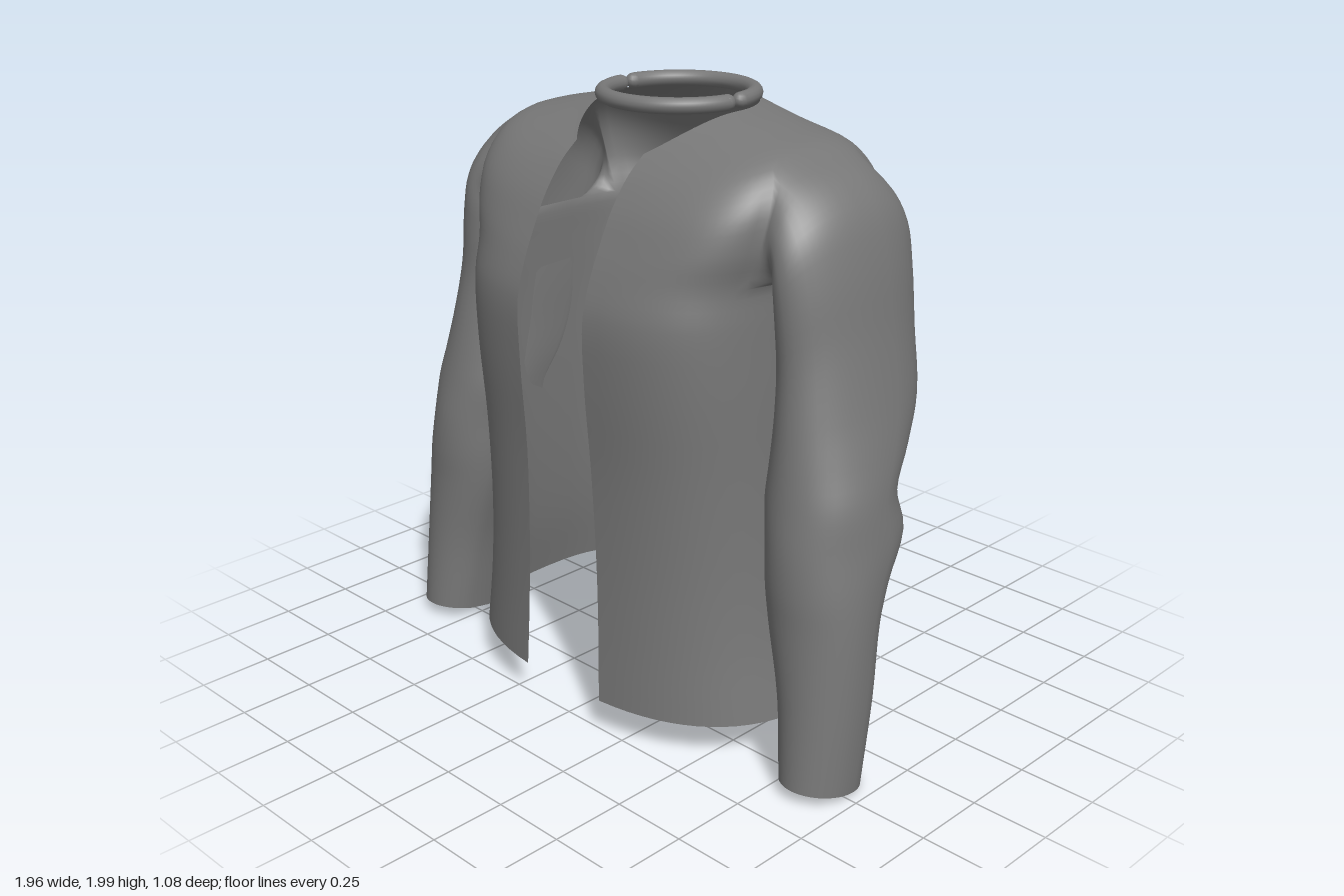
import * as THREE from 'three';

const SUB = 4;      // spline steps between two control sections
const COLS = 36;    // columns from front edge to centre back (one half)
const HOLE = { r0: 6 * SUB, r1: 9 * SUB, c0: 13, c1: 22 }; // armhole in the body grid

// Body sections: y front, y side, y back, half width, z front, z back, squareness
const BODY = [
  [0.13, 0.13, 0.10, 0.67, 0.53, -0.54, 2.6],
  [0.35, 0.35, 0.35, 0.63, 0.52, -0.49, 2.7],
  [0.60, 0.60, 0.60, 0.605, 0.515, -0.43, 2.8],
  [0.90, 0.90, 0.90, 0.59, 0.52, -0.425, 3],
  [1.20, 1.20, 1.20, 0.585, 0.54, -0.44, 3.2],
  [1.40, 1.40, 1.40, 0.58, 0.54, -0.46, 3.3],
  [1.52, 1.52, 1.52, 0.58, 0.505, -0.465, 3.4],
  [1.61, 1.64, 1.63, 0.615, 0.465, -0.455, 3.5],
  [1.69, 1.77, 1.73, 0.625, 0.425, -0.42, 3.3],
  [1.75, 1.865, 1.83, 0.58, 0.385, -0.365, 2.8],
  [1.79, 1.915, 1.90, 0.42, 0.355, -0.305, 2.3],
  [1.80, 1.95, 1.955, 0.255, 0.345, -0.26, 2],
];

// Sleeve sections: outer x, outer y, inner x, inner y, z centre, z radius
const SLEEVE = [
  [0.68, 1.815, 0.60, 1.49, -0.005, 0.278],
  [0.755, 1.73, 0.59, 1.44, 0, 0.287],
  [0.805, 1.59, 0.58, 1.37, 0.005, 0.28],
  [0.845, 1.38, 0.575, 1.25, 0.01, 0.27],
  [0.89, 1.17, 0.575, 1.12, 0.03, 0.27],
  [0.92, 1.04, 0.575, 1.00, 0.075, 0.243],
  [0.945, 0.92, 0.58, 0.90, 0.125, 0.21],
  [0.962, 0.79, 0.595, 0.78, 0.122, 0.232],
  [0.971, 0.66, 0.615, 0.66, 0.168, 0.193],
  [0.976, 0.54, 0.64, 0.54, 0.195, 0.165],
  [0.98, 0.30, 0.705, 0.30, 0.22, 0.15],
  [0.976, 0.03, 0.745, 0.03, 0.255, 0.135],
];

const spow = (v, p) => Math.sign(v) * Math.pow(Math.abs(v), p);

// One point of a body section; u runs from the front edge (0) to centre back (1)
function bodyPoint([yF, yS, yB, w, zF, zB, n], u) {
  const gap = 0.145 + 0.03 * Math.max(0, 1 - yF);
  const t0 = Math.asin(Math.pow(gap / w, n / 2));
  const t = t0 + (Math.PI - t0) * u;
  const c = Math.cos(t);
  const x = u === 1 ? 0 : w * spow(Math.sin(t), 2 / n);
  const y = yS + ((c > 0 ? yF : yB) - yS) * c * c;
  let z = (c > 0 ? zF : -zB) * spow(c, 2 / n);
  // shallow hollow between the shoulder blades
  if (c < 0) z += 0.045 * Math.exp(-((x / 0.16) ** 2)) * Math.exp(-(((y - 1.5) / 0.25) ** 2));
  return new THREE.Vector3(x, y, z);
}

const sampleSpline = (pts) => new THREE.CatmullRomCurve3(pts).getPoints((pts.length - 1) * SUB);

function buildShell() {
  const verts = [], bodyTris = [], sleeveTris = [];
  const add = (p) => verts.push(p) - 1;
  const quad = (out, a, b, c, d) => out.push([a, b, c], [a, c, d]);

  // body grid with the armhole left out
  const grid = [];
  for (let c = 0; c <= COLS; c++) {
    grid.push(sampleSpline(BODY.map((s) => bodyPoint(s, c / COLS))).map(add));
  }
  const { r0, r1, c0, c1 } = HOLE;
  for (let c = 0; c < COLS; c++) {
    for (let r = 0; r < grid[0].length - 1; r++) {
      if (r >= r0 && r < r1 && c >= c0 && c < c1) continue;
      quad(bodyTris, grid[c][r], grid[c + 1][r], grid[c + 1][r + 1], grid[c][r + 1]);
    }
  }

  // sleeve grown out of the armhole edge
  const loop = [];
  for (let c = c0; c < c1; c++) loop.push(grid[c][r0]);
  for (let r = r0; r < r1; r++) loop.push(grid[c1][r]);
  for (let c = c1; c > c0; c--) loop.push(grid[c][r1]);
  for (let r = r1; r > r0; r--) loop.push(grid[c0][r]);
  const strips = loop.map((id) => {
    const p = verts[id];
    const a = Math.atan2((p.z + 0.005) / 0.26, (p.y - 1.69) / 0.175);
    const pts = SLEEVE.map(([ox, oy, ix, iy, zc, rz], k) => new THREE.Vector3(
      (ox + ix) / 2 + Math.cos(a) * (ox - ix) / 2,
      (oy + iy) / 2 + Math.cos(a) * (oy - iy) / 2 + (k === SLEEVE.length - 1 ? 0.022 * Math.sin(a) : 0),
      zc + rz * Math.sin(a)));
    return [id, ...sampleSpline([p, ...pts]).slice(1).map(add)];
  });
  strips.forEach((s, j) => {
    const q = strips[(j + 1) % strips.length];
    for (let k = 0; k < s.length - 1; k++) quad(sleeveTris, s[k], q[k], q[k + 1], s[k + 1]);
  });

  // mirrored half, sharing the centre back seam
  const half = verts.length;
  const twin = [];
  for (let i = 0; i < half; i++) {
    const p = verts[i];
    twin.push(Math.abs(p.x) < 1e-6 ? i : add(new THREE.Vector3(-p.x, p.y, p.z)));
  }
  const mirror = (tris) => tris.map(([a, b, c]) => [twin[a], twin[c], twin[b]]);
  const body = [...bodyTris, ...mirror(bodyTris)].flat();
  const left = sleeveTris.flat();
  const right = mirror(sleeveTris).flat();

  // normals are computed across all parts so the armhole seams stay smooth
  const all = new THREE.BufferGeometry().setFromPoints(verts);
  all.setIndex([...body, ...left, ...right]);
  all.computeVertexNormals();
  const part = (index) => {
    const g = new THREE.BufferGeometry();
    g.setAttribute('position', all.attributes.position);
    g.setAttribute('normal', all.attributes.normal);
    g.setIndex(index);
    return g;
  };
  return { jacketBody: part(body), leftSleeve: part(left), rightSleeve: part(right) };
}

export function createModel() {
  const model = new THREE.Group();
  model.name = 'jacket';
  const cloth = new THREE.MeshStandardMaterial({ color: 0x777777, side: THREE.DoubleSide });
  cloth.name = 'greyCloth';

  for (const [name, geometry] of Object.entries(buildShell())) {
    const mesh = new THREE.Mesh(geometry, cloth);
    mesh.name = name;
    model.add(mesh);
  }

  // collar ring in two halves with tapered tips
  const R = 0.232, TUBE = 0.025, GAP = 0.12;
  for (const [name, start, dz] of [['collarFront', 0, -0.008], ['collarBack', Math.PI, -0.014]]) {
    const half = new THREE.Group();
    half.name = name;
    const arc = new THREE.Mesh(
      new THREE.TorusGeometry(R, TUBE, 14, 48, Math.PI - 2 * GAP).rotateZ(start + GAP).rotateX(Math.PI / 2), cloth);
    arc.name = name + 'Arc';
    half.add(arc);
    for (const a of [start + GAP, start + Math.PI - GAP]) {
      const tip = new THREE.Mesh(new THREE.SphereGeometry(TUBE, 14, 10), cloth);
      tip.name = name + 'Tip';
      tip.scale.z = 1.2;
      tip.position.set(R * Math.cos(a), 0, R * Math.sin(a));
      half.add(tip);
    }
    half.position.set(0, 1.975, dz);
    model.add(half);
  }
  return model;
}
